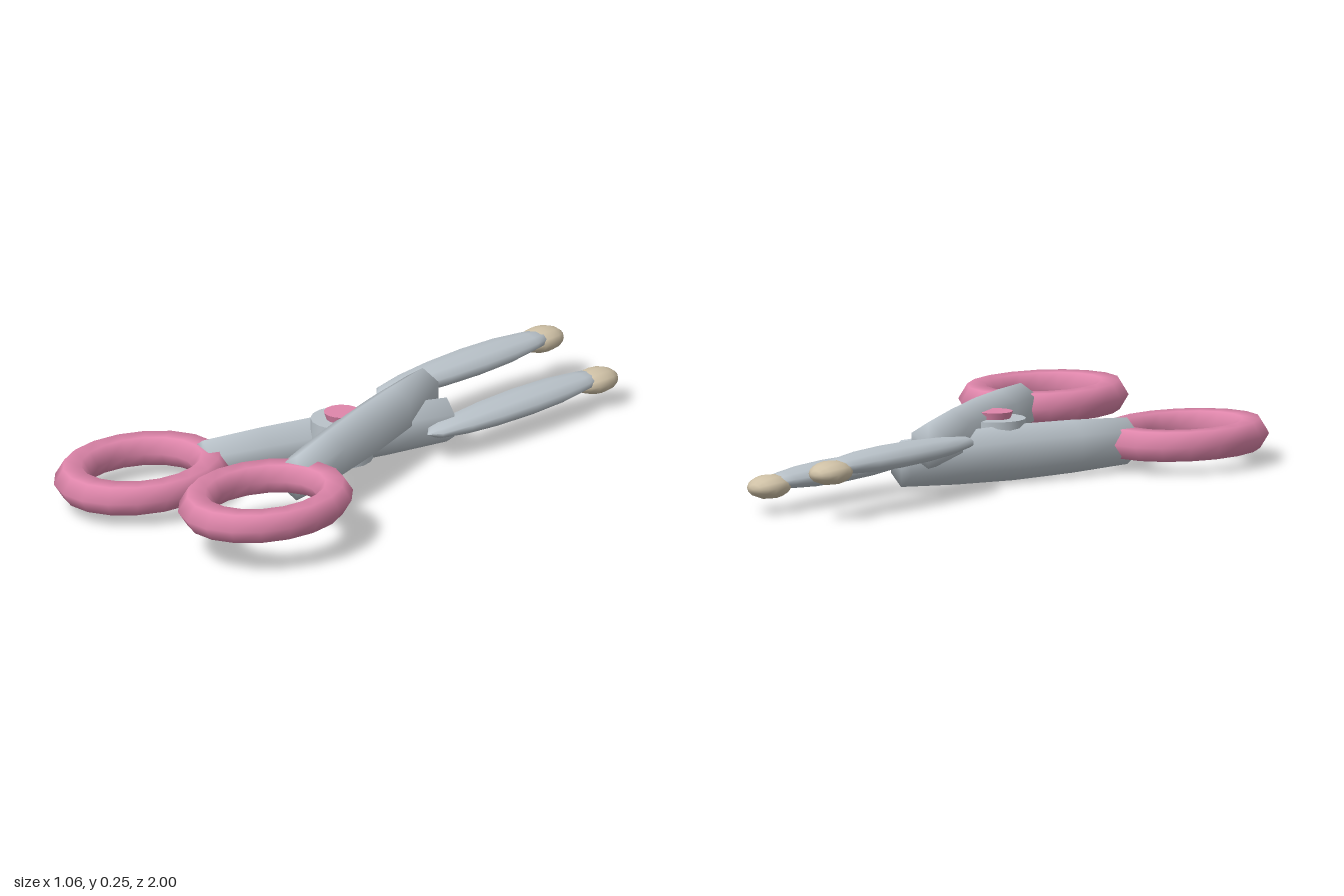
import * as THREE from 'three';

const steel = new THREE.MeshStandardMaterial({ name: 'pale steel', color: 0xb9c2c9 });
const pink = new THREE.MeshStandardMaterial({ name: 'pink', color: 0xdf86ab });
const tan = new THREE.MeshStandardMaterial({ name: 'tan', color: 0xcfc1a6 });

function part(name, geometry, material, x, y, z) {
  const mesh = new THREE.Mesh(geometry, material);
  mesh.name = name;
  mesh.position.set(x, y, z);
  return mesh;
}

// Turned bar lying along z; each profile point is [radius, z]
function bar(profile, sides, height) {
  const points = profile.map(([r, z]) => new THREE.Vector2(r, -z)).reverse();
  return new THREE.LatheGeometry(points, sides).rotateX(-Math.PI / 2).scale(1, height, 1);
}

// One arm: finger ring on side s, blade on the opposite side
function arm(s, y, name) {
  const group = new THREE.Group();
  group.name = name;

  // Oval finger ring with a six-sided tube
  const ring = new THREE.TorusGeometry(0.245, 0.065, 6, 18).rotateX(-Math.PI / 2).scale(0.79, 0.835, 1);
  group.add(part('fingerRing', ring, pink, s * 0.285, y, 0.69));

  // Six-sided barrel handle, crossing at the pivot
  const handle = bar([[0, -0.43], [0.066, -0.43], [0.075, -0.22], [0.079, 0],
    [0.075, 0.22], [0.066, 0.43], [0, 0.43]], 6, 1.14);
  handle.rotateY(s * Math.atan2(0.27, 0.815));
  group.add(part('handle', handle, steel, s * 0.08, y, 0.078));

  // Flat leaf-shaped blade
  const blade = bar([[0, -0.93], [0.045, -0.9], [0.055, -0.85], [0.072, -0.74], [0.078, -0.6],
    [0.073, -0.45], [0.06, -0.33], [0.036, -0.22], [0, -0.185]], 10, 0.49);
  group.add(part('blade', blade, steel, -s * 0.118, y + 0.004, 0));

  // Rounded blade tip
  const tip = new THREE.SphereGeometry(1, 12, 8).rotateX(Math.PI / 2).scale(0.063, 0.039, 0.082);
  group.add(part('bladeTip', tip, tan, -s * 0.125, y - 0.008, -0.918));
  return group;
}

export function createModel() {
  const model = new THREE.Group();
  model.name = 'scissors';
  model.add(arm(1, 0.162, 'upperArm'), arm(-1, 0.093, 'lowerArm'));

  // Pivot disc and its button
  model.add(part('pivot', new THREE.CylinderGeometry(0.1, 0.1, 0.135, 16), steel, 0, 0.128, 0.08));
  model.add(part('pivotButton', new THREE.CylinderGeometry(0.058, 0.05, 0.024, 14), pink, 0, 0.206, 0.08));
  return model;
}
